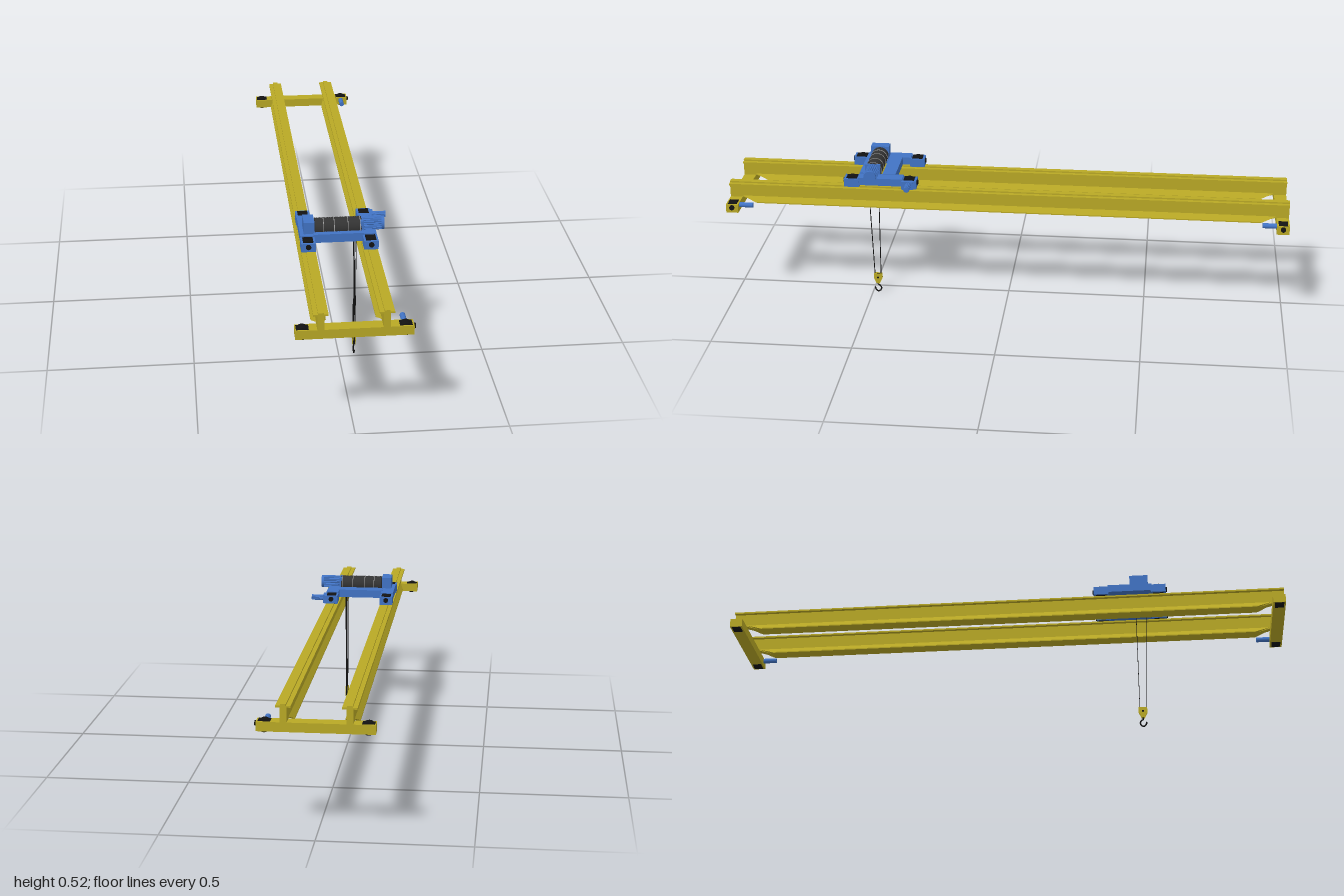
import * as THREE from 'three';

const mat = (color) => new THREE.MeshStandardMaterial({ color });
const yellow = mat(0xb8a825), blue = mat(0x4173c4), black = mat(0x121212), dark = mat(0x333333), steel = mat(0x999999);

function add(parent, name, geometry, material, x = 0, y = 0, z = 0) {
  const mesh = new THREE.Mesh(geometry, material);
  mesh.name = name;
  mesh.position.set(x, y, z);
  parent.add(mesh);
  return mesh;
}

// Box given by its limits on each axis
function box(parent, name, material, x0, x1, y0, y1, z0, z1) {
  return add(parent, name, new THREE.BoxGeometry(x1 - x0, y1 - y0, z1 - z0), material,
    (x0 + x1) / 2, (y0 + y1) / 2, (z0 + z1) / 2);
}

// Cylinder lying along the x or z axis
function rod(parent, name, material, axis, r, length, x, y, z, sides = 24) {
  const g = new THREE.CylinderGeometry(r, r, length, sides);
  if (axis === 'x') g.rotateZ(Math.PI / 2); else g.rotateX(Math.PI / 2);
  return add(parent, name, g, material, x, y, z);
}

// Ribbed motor body along x
function finnedMotor(parent, name, r, length, x, y, z, fins) {
  const shape = new THREE.Shape();
  for (let i = 0; i < fins * 4; i++) {
    const a = (i / (fins * 4)) * Math.PI * 2, k = i % 4 < 2 ? r : r * 0.88;
    if (i) shape.lineTo(k * Math.cos(a), k * Math.sin(a));
    else shape.moveTo(k, 0);
  }
  const g = new THREE.ExtrudeGeometry(shape, { depth: length, bevelEnabled: false });
  g.translate(0, 0, -length / 2).rotateY(Math.PI / 2);
  return add(parent, name, g, blue, x, y, z);
}

function girder(x) {
  const g = new THREE.Group();
  g.name = 'girder';
  // Web, stepping up at each end to sit on the carriages
  const side = new THREE.Shape([[-1, 0.386], [-0.955, 0.386], [-0.9, 0.37], [0.9, 0.37], [0.955, 0.386],
    [1, 0.386], [1, 0.435], [-1, 0.435]].map(([a, b]) => new THREE.Vector2(a, b)));
  const web = new THREE.ExtrudeGeometry(side, { depth: 0.022, bevelEnabled: false });
  web.translate(0, 0, -0.011).rotateY(Math.PI / 2);
  add(g, 'web', web, yellow);
  box(g, 'topFlange', yellow, -0.024, 0.024, 0.434, 0.44, -1, 1);
  box(g, 'rail', yellow, -0.009, 0.009, 0.44, 0.445, -1, 1);
  // Flared lower flange with slanted ends
  const foot = new THREE.Shape([[-0.024, 0.369], [0.024, 0.369], [0.024, 0.373], [0.011, 0.391],
    [-0.011, 0.391], [-0.024, 0.373]].map(([a, b]) => new THREE.Vector2(a, b)));
  const flange = new THREE.ExtrudeGeometry(foot, { depth: 2, bevelEnabled: false });
  flange.translate(0, 0, -1);
  const p = flange.attributes.position;
  for (let i = 0; i < p.count; i++) p.setZ(i, Math.sign(p.getZ(i)) * (0.9 + (p.getY(i) - 0.369) * 2.5));
  flange.computeVertexNormals();
  add(g, 'lowerFlange', flange, yellow);
  g.position.x = x;
  return g;
}

function endCarriage(s) {
  const g = new THREE.Group();
  g.name = 'endCarriage';
  const z = s * 0.978;
  box(g, 'carriageBeam', yellow, -0.19, 0.183, 0.355, 0.386, z - 0.022, z + 0.022);
  for (const x of [-0.167, 0.158]) {
    rod(g, 'carriageWheel', black, 'z', 0.021, 0.03, x, 0.371, z);
    box(g, 'wheelPocket', black, x - 0.02, x + 0.02, 0.354, 0.387, z - 0.016, z + 0.016);
  }
  rod(g, 'buffer', black, 'x', 0.009, 0.012, 0.183, 0.375, z);
  rod(g, 'travelMotor', blue, 'z', 0.009, 0.05, 0.157, 0.376, s * 0.932);
  return g;
}

function trolley() {
  const g = new THREE.Group();
  g.name = 'trolley';
  for (const x of [-0.111, 0.098]) {
    box(g, 'sideBeam', blue, x - 0.023, x + 0.023, 0.455, 0.482, 0.37, 0.53);
    for (const [z, s] of [[0.347, -1], [0.553, 1]]) {
      box(g, 'truck', blue, x - 0.024, x + 0.024, 0.447, 0.477, z - 0.027, z + 0.027);
      rod(g, 'trolleyWheel', black, 'x', 0.0195, 0.03, x, 0.4635, z);
      box(g, 'truckPocket', black, x - 0.017, x + 0.017, 0.445, 0.48, z - 0.019, z + 0.019);
      rod(g, 'trolleyBuffer', black, 'z', 0.009, 0.008, x, 0.465, z + s * 0.027);
    }
  }
  box(g, 'rearCrossBeam', blue, -0.09, 0.078, 0.455, 0.484, 0.4, 0.447);
  box(g, 'frontCrossBeam', blue, -0.09, 0.078, 0.455, 0.485, 0.505, 0.53);
  // Cross-travel drive
  box(g, 'driveGearbox', blue, 0.115, 0.13, 0.447, 0.477, 0.33, 0.372);
  finnedMotor(g, 'driveMotor', 0.0105, 0.05, 0.149, 0.465, 0.347, 12);
  // Hoist
  box(g, 'hoistGearbox', blue, -0.121, -0.085, 0.478, 0.523, 0.45, 0.516);
  box(g, 'drumBearing', blue, 0.07, 0.08, 0.478, 0.518, 0.455, 0.51);
  finnedMotor(g, 'hoistMotor', 0.0235, 0.066, 0.109, 0.498, 0.481, 20);
  rod(g, 'motorCap', blue, 'x', 0.0225, 0.01, 0.146, 0.498, 0.481);
  const grooves = 36, profile = [new THREE.Vector2(0, 0)];
  for (let i = 0; i <= grooves * 2; i++) profile.push(new THREE.Vector2(i % 2 ? 0.0305 : 0.0285, (i / grooves / 2) * 0.157));
  profile.push(new THREE.Vector2(0, 0.157));
  const drum = new THREE.LatheGeometry(profile, 28);
  drum.rotateZ(-Math.PI / 2);
  add(g, 'drum', drum, dark, -0.083, 0.492, 0.481);
  for (const x of [-0.054, -0.018, 0.028, 0.069]) rod(g, 'drumRing', steel, 'x', 0.031, 0.002, x, 0.492, 0.481, 28);
  return g;
}

function hookBlock() {
  const g = new THREE.Group();
  g.name = 'hookBlock';
  const x = 0.053, z = 0.48;
  // Four falls of rope
  for (const dx of [-0.002, 0.003]) for (const [zt, zb] of [[0.506, 0.491], [0.467, 0.469]]) {
    const path = new THREE.LineCurve3(new THREE.Vector3(x + dx, 0.48, zt), new THREE.Vector3(x + dx, 0.064, zb));
    add(g, 'rope', new THREE.TubeGeometry(path, 1, 0.0011, 6), black);
  }
  // Side plates around the sheaves
  const plate = new THREE.Shape([[-0.015, 0.076], [-0.016, 0.058], [-0.006, 0.036], [0.006, 0.036],
    [0.016, 0.058], [0.015, 0.076]].map(([a, b]) => new THREE.Vector2(a, b)));
  for (const dx of [-0.0045, 0.0045]) {
    const pg = new THREE.ExtrudeGeometry(plate, { depth: 0.002, bevelEnabled: false });
    pg.translate(0, 0, -0.001).rotateY(Math.PI / 2);
    add(g, 'sidePlate', pg, yellow, x + dx, 0, z);
  }
  for (const dx of [-0.0018, 0.0018]) rod(g, 'sheave', black, 'x', 0.0145, 0.003, x + dx, 0.06, z);
  rod(g, 'sheaveAxle', black, 'x', 0.004, 0.013, x, 0.06, z, 12);
  box(g, 'crosshead', black, x - 0.0035, x + 0.0035, 0.038, 0.052, z - 0.006, z + 0.006);
  // Curved hook
  const pts = [[0, 0.04], [0, 0.03], [-0.007, 0.025], [-0.011, 0.015], [-0.006, 0.005], [0.002, 0.0027],
    [0.009, 0.008], [0.012, 0.017]].map(([dz, y]) => new THREE.Vector3(x, y, z + dz));
  add(g, 'hook', new THREE.TubeGeometry(new THREE.CatmullRomCurve3(pts), 32, 0.0027, 8), black);
  const tip = add(g, 'hookTip', new THREE.ConeGeometry(0.0027, 0.005, 8), black, x, 0.0192, z + 0.0125);
  tip.rotation.x = 0.25;
  return g;
}

export function createModel() {
  const model = new THREE.Group();
  model.name = 'overheadCrane';
  model.add(girder(-0.11), girder(0.097), endCarriage(1), endCarriage(-1), trolley(), hookBlock());
  return model;
}
